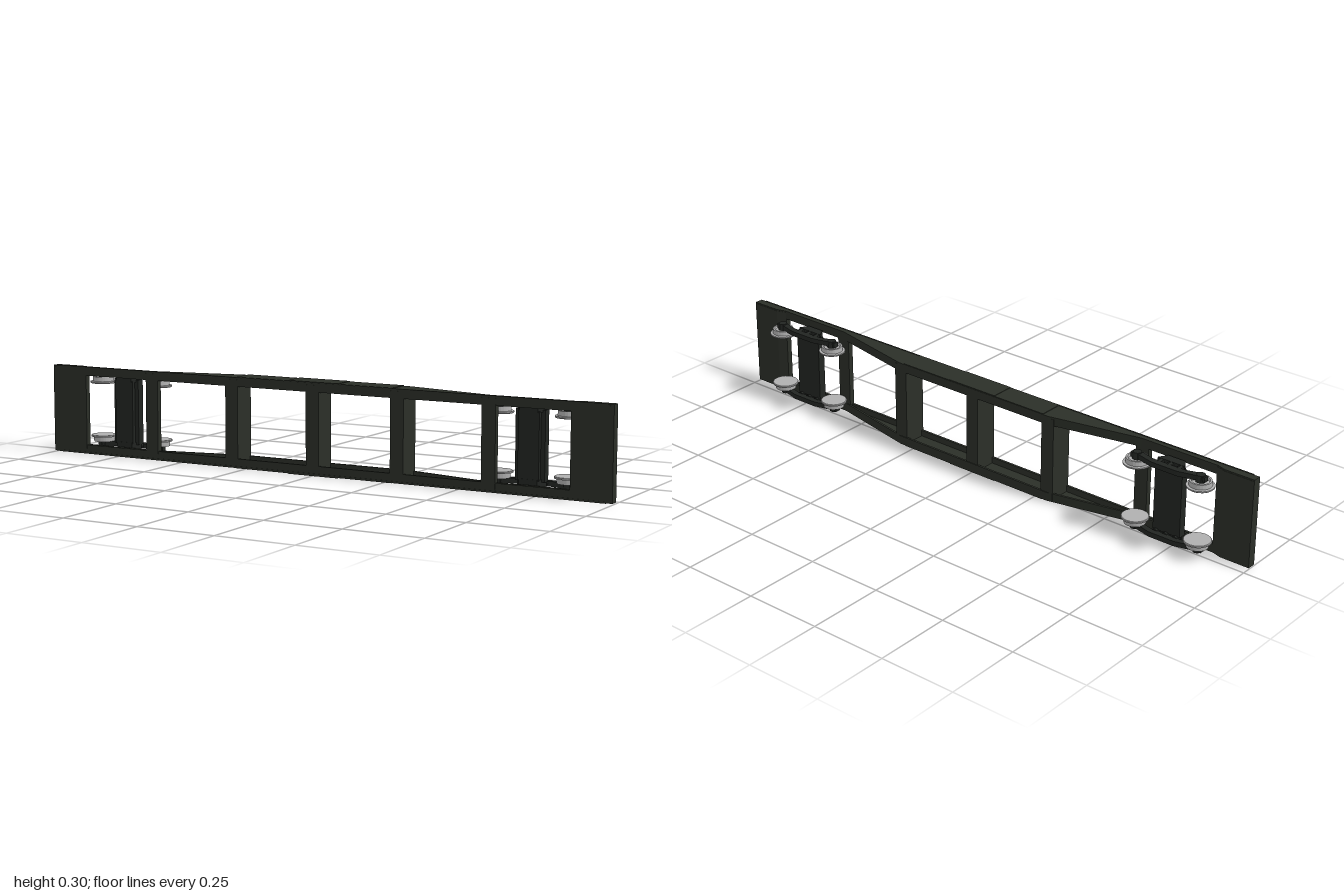
import * as THREE from 'three';

const steel = new THREE.MeshStandardMaterial({ color: 0x2b2f28, flatShading: true });
const iron = new THREE.MeshStandardMaterial({ color: 0x222522, flatShading: true });
const wheelMetal = new THREE.MeshStandardMaterial({ color: 0xb0b0b0, flatShading: true });

const MID = 0.148; // half the wagon width; the wagon lies on its side

function add(parent, name, geometry, material) {
  const mesh = new THREE.Mesh(geometry, material);
  mesh.name = name;
  parent.add(mesh);
  return mesh;
}

// Box from min/max limits
function box(parent, name, [x0, x1], [y0, y1], [z0, z1], material) {
  const mesh = add(parent, name, new THREE.BoxGeometry(x1 - x0, y1 - y0, z1 - z0), material);
  mesh.position.set((x0 + x1) / 2, (y0 + y1) / 2, (z0 + z1) / 2);
  return mesh;
}

// Outline in (x, z), extruded from y0 to y1
function plate(parent, name, points, y0, y1, material) {
  const shape = new THREE.Shape(points.map(([x, z]) => new THREE.Vector2(x, -z)));
  const geometry = new THREE.ExtrudeGeometry(shape, { depth: y1 - y0, bevelEnabled: false });
  geometry.rotateX(-Math.PI / 2).translate(0, y0, 0);
  return add(parent, name, geometry, material);
}

const mirrorX = (half) => [...half, ...half.map(([x, z]) => [-x, z]).reverse()];

// Fish-bellied side sill: web, deck flange, lower flange and a slight outer bulge
function makeSill() {
  const sill = new THREE.Group();
  sill.name = 'sideSill';
  const belly = mirrorX([[-1, 0.026], [-0.9, 0.026], [-0.87, 0.035], [-0.6, 0.035], [-0.3, -0.028]]);
  const raised = belly.map(([x, z]) => [x, z + 0.007]).reverse();
  plate(sill, 'web', [...belly, [1, 0.053], [-1, 0.053]], 0.136, 0.1445, steel);
  plate(sill, 'lowerFlange', [...belly, ...raised], 0.116, 0.1445, steel);
  box(sill, 'deckFlange', [-1, 1], [0.116, 0.1445], [0.045, 0.053], steel);
  box(sill, 'sidePanel', [-0.28, 0.28], [0.144, 0.1465], [-0.027, 0.053], steel);
  box(sill, 'centrePanel', [-0.09, 0.09], [0.146, 0.148], [-0.027, 0.053], steel);
  box(sill, 'deckEdge', [-0.98, 0.98], [0.14, 0.1455], [0.051, 0.055], steel);
  return sill;
}

// Wheels and frame on one side of a bogie
function makeBogieSide() {
  const side = new THREE.Group();
  side.name = 'bogieSide';
  const profile = [[0, 0.087], [0.041, 0.087], [0.043, 0.089], [0.043, 0.093], [0.035, 0.094],
    [0.034, 0.109], [0.028, 0.109], [0.025, 0.103], [0.012, 0.103], [0.011, 0.109], [0, 0.109]];
  for (const x of [-0.112, 0.112]) {
    const wheel = add(side, 'wheel', new THREE.LatheGeometry(
      profile.map(([r, y]) => new THREE.Vector2(r, y)), 24), wheelMetal);
    wheel.position.set(x, 0, -0.013);
    const cap = add(side, 'axleBox', new THREE.CylinderGeometry(0.014, 0.016, 0.022, 10), iron);
    cap.position.set(x, 0.116, -0.013);
  }
  // Bowed frame dipping below the axles in the middle
  plate(side, 'sideFrame', mirrorX([[-0.13, -0.003], [-0.13, -0.022], [-0.1, -0.024], [-0.045, -0.038]])
    .concat([[0.1, -0.003], [0.055, -0.016], [-0.055, -0.016], [-0.1, -0.003]]), 0.108, 0.124, iron);
  for (const x of [-0.035, 0, 0.035]) {
    const spring = add(side, 'spring', new THREE.CylinderGeometry(0.011, 0.011, 0.022, 8), iron);
    spring.rotation.x = Math.PI / 2;
    spring.position.set(x, 0.114, -0.009);
  }
  plate(side, 'bolsterEnd', [[-0.048, -0.001], [0.048, -0.001], [0.03, 0.028], [-0.03, 0.028]],
    0.1, 0.125, iron);
  return side;
}

// Adds a part on the upper side and its half-turn twin on the lower side
function pair(parent, make) {
  for (const angle of [0, Math.PI]) {
    const part = make();
    part.rotation.z = angle;
    parent.add(part);
  }
}

export function createModel() {
  const model = new THREE.Group();
  model.name = 'flatWagon';
  const body = new THREE.Group();
  body.name = 'wagonBody';
  body.position.y = MID;
  model.add(body);

  pair(body, makeSill);

  // End platforms, chamfered towards the bogies
  for (const s of [-1, 1]) {
    const outline = [[s, 0.025], [s * 0.9, 0.025], [s * 0.867, 0.035], [s * 0.867, 0.054], [s, 0.054]];
    plate(body, 'endPlatform', outline, -0.14, 0.14, steel);
  }

  // Cross members, deep in the middle and shallow near the bogies
  for (const [x, bottom] of [[-0.604, 0.035], [-0.297, -0.026], [0, -0.026], [0.297, -0.026], [0.604, 0.035]]) {
    box(body, 'crossMember', [x - 0.023, x + 0.023], [-0.138, 0.138], [bottom, 0.0535], steel);
  }

  // Bogies
  for (const x of [-0.733, 0.722]) {
    const bogie = new THREE.Group();
    bogie.name = 'bogie';
    bogie.position.x = x;
    body.add(bogie);
    pair(bogie, makeBogieSide);
    box(bogie, 'bolster', [-0.048, 0.048], [-0.108, 0.108], [-0.012, 0.014], iron);
    box(bogie, 'bolsterTop', [-0.034, 0.034], [-0.104, 0.104], [0.013, 0.027], iron);
  }
  return model;
}
